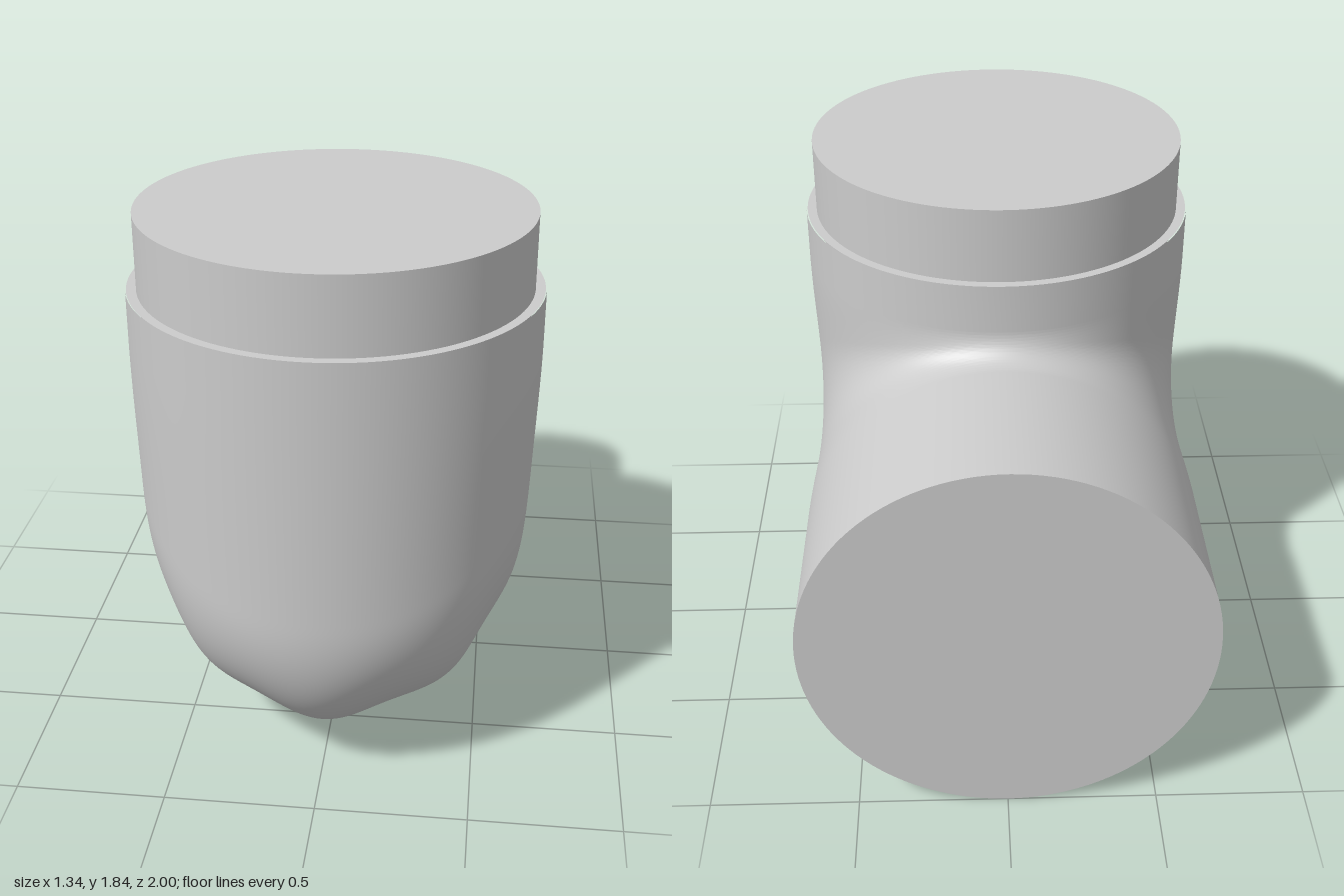
import * as THREE from 'three';
import { toCreasedNormals } from 'three/addons/utils/BufferGeometryUtils.js';

const R = 0.67;                       // pipe radius
const PIVOT = { z: -0.43, y: 1.433 }; // centre of the inner fillet
const FILLET = 0.093;
const SIDES = 280, BEND_ROWS = 140;

// Screw recesses on both flanks: centre, half sizes, tilt (side elevation)
const RECESSES = [
  { z: 0.42, y: 0.32, rz: 0.036, ry: 0.066, tilt: 0.15 },
  { z: -0.08, y: 0.26, rz: 0.037, ry: 0.05, tilt: 0 },
];

// True inside the rounded outer corner of the elbow in side elevation
function insideOutline(z, y) {
  if (z > 1 || y < 0.003) return false;
  const u = Math.max(0, (z - 0.1) / 0.9), v = Math.max(0, (0.7 - y) / 0.697);
  return u ** 2.3 + v ** 2.3 < 1;
}

// Distance from the pivot to the outer outline along angle t
function outerDistance(t) {
  let lo = 0.5, hi = 2.5;
  for (let k = 0; k < 40; k++) {
    const m = (lo + hi) / 2;
    if (insideOutline(PIVOT.z + m * Math.cos(t), PIVOT.y - m * Math.sin(t))) lo = m;
    else hi = m;
  }
  return lo;
}

// Presses a flat-floored recess into the flank
function recess(x, y, z) {
  for (const r of RECESSES) {
    const c = Math.cos(r.tilt), s = Math.sin(r.tilt);
    const dz = z - r.z, dy = y - r.y;
    const a = (dz * c - dy * s) / r.rz, b = (dz * s + dy * c) / r.ry;
    if (a * a + b * b < 1 && Math.abs(x) > 0.3) return Math.sign(x) * Math.min(Math.abs(x), 0.47);
  }
  return x;
}

// One oval section in the plane through the pivot at angle t, shifted along the pipe
function addSection(out, t, dy, dz) {
  const outer = outerDistance(t);
  const mid = (outer + FILLET) / 2, half = (outer - FILLET) / 2;
  const bend = Math.sin(2 * t) ** 2;
  const width = R - 0.018 * bend;
  // flutes run lengthwise under the heel and fade out at both ends
  const s = THREE.MathUtils.smoothstep(t, 0.5, 0.95) * (1 - THREE.MathUtils.smoothstep(t, 1.1, 1.57));
  for (let j = 0; j < SIDES; j++) {
    const p = (j / SIDES) * Math.PI * 2;
    const q = Math.min(p, Math.PI * 2 - p);
    const fade = 1 - THREE.MathUtils.smoothstep(q, 0.75, 1.4);
    const k = 1 - 0.045 * s * fade * (1 - Math.cos(9 * q)) / 2;
    const d = mid + half * k * Math.cos(p);
    const y = PIVOT.y - d * Math.sin(t) + dy, z = PIVOT.z + d * Math.cos(t) + dz;
    out.push(recess(width * k * Math.sin(p), y, z), y, z);
  }
}

function elbowGeometry() {
  const pos = [], index = [];
  addSection(pos, 0, 1.595 - PIVOT.y, 0);
  for (let i = 0; i <= BEND_ROWS; i++) addSection(pos, (i / BEND_ROWS) * Math.PI / 2, 0, 0);
  addSection(pos, Math.PI / 2, 0, -1 - PIVOT.z);
  const rows = pos.length / 3 / SIDES;
  for (let i = 0; i < rows - 1; i++) {
    for (let j = 0; j < SIDES; j++) {
      const n = (j + 1) % SIDES;
      const a = i * SIDES + j, b = i * SIDES + n, c = a + SIDES, d = b + SIDES;
      index.push(a, c, b, b, c, d);
    }
  }
  const g = new THREE.BufferGeometry();
  g.setAttribute('position', new THREE.Float32BufferAttribute(pos, 3));
  g.setIndex(index);
  return toCreasedNormals(g, 0.6);
}

export function createModel() {
  const group = new THREE.Group();
  const material = new THREE.MeshStandardMaterial({ color: 0xcccccc });
  const add = (name, geometry, x, y, z) => {
    const mesh = new THREE.Mesh(geometry, material);
    mesh.name = name;
    mesh.position.set(x, y, z);
    group.add(mesh);
    return mesh;
  };

  // Bent pipe body with fluted heel and screw recesses
  add('elbowBody', elbowGeometry(), 0, 0, 0);

  // Narrow shoulder around the collar
  const shoulder = add('shoulder', new THREE.RingGeometry(0.63, 0.6665, 128), 0, 1.595, 0.3335);
  shoulder.rotation.x = -Math.PI / 2;

  // Reduced collar on the upright end
  add('collar', new THREE.CylinderGeometry(0.635, 0.635, 0.3, 128), 0, 1.695, 0.3335);

  // Closed face of the horizontal end
  const endFace = add('endFace', new THREE.CircleGeometry(R, 128), 0, 0.6715, -1);
  endFace.rotation.y = Math.PI;

  return group;
}
